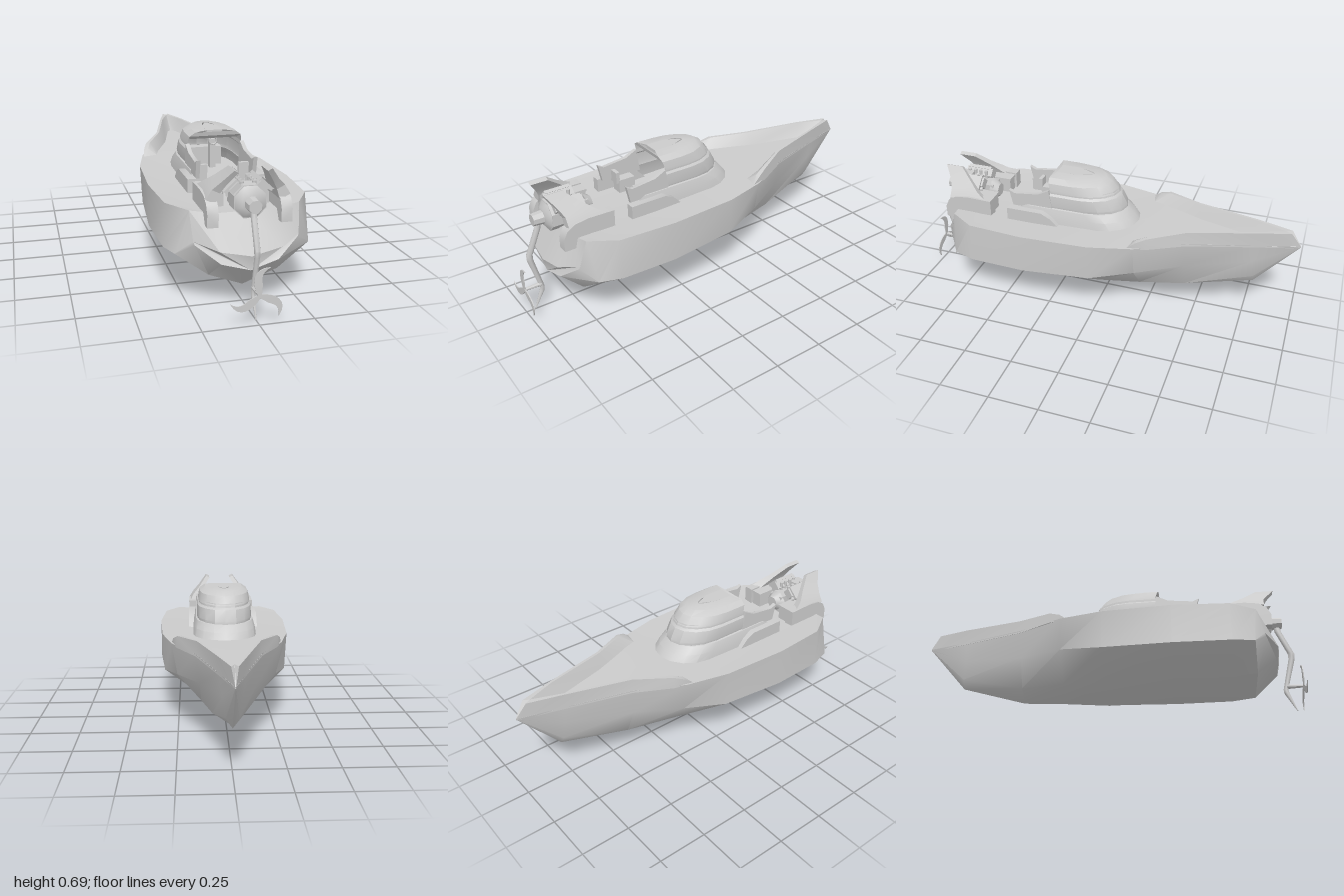
import * as THREE from 'three';
import { toCreasedNormals } from 'three/addons/utils/BufferGeometryUtils.js';

const solid = new THREE.MeshStandardMaterial({ color: 0xcccccc });
const thin = new THREE.MeshStandardMaterial({ color: 0xcccccc, side: THREE.DoubleSide });

// Skin a list of equal-length rings of [x, y, z]; closed rings are capped and turned outward.
function loft(rings, { closed = true, crease = 0.5 } = {}) {
  const n = rings[0].length, last = (rings.length - 1) * n;
  const pos = rings.flat(2), index = [];
  for (let r = 0; r < rings.length - 1; r++) {
    for (let i = 0; i < (closed ? n : n - 1); i++) {
      const a = r * n + i, b = r * n + (i + 1) % n;
      index.push(a, b, a + n, b, b + n, a + n);
    }
  }
  if (closed) {
    for (let i = 1; i < n - 1; i++) index.push(0, i + 1, i, last, last + i, last + i + 1);
    let volume = 0;
    const v = (i) => new THREE.Vector3().fromArray(pos, index[i] * 3);
    for (let i = 0; i < index.length; i += 3) volume += v(i).dot(v(i + 1).cross(v(i + 2)));
    if (volume < 0) index.reverse();
  }
  const g = new THREE.BufferGeometry();
  g.setAttribute('position', new THREE.Float32BufferAttribute(pos, 3));
  g.setIndex(index);
  return toCreasedNormals(g, crease);
}

export function createModel() {
  const model = new THREE.Group();
  const add = (name, geometry, x = 0, y = 0, z = 0, material = solid) => {
    const m = new THREE.Mesh(geometry, material);
    m.name = name;
    m.position.set(x, y, z);
    model.add(m);
    return m;
  };
  const box = (name, x, y, z, w, h, d) => add(name, new THREE.BoxGeometry(w, h, d), x, y, z);
  // Cylinder along z
  const rod = (name, x, y, z, r0, r1, len, sides = 8) => {
    const g = new THREE.CylinderGeometry(r0, r1, len, sides).rotateY(Math.PI / sides).rotateX(Math.PI / 2);
    return add(name, toCreasedNormals(g, 0.7), x, y, z);
  };
  // Prism from a [z, y] side outline, x0 to x1
  const sidePrism = (name, outline, x0, x1) =>
    add(name, loft([x0, x1].map((x) => outline.map(([z, y]) => [x, y, z])), { crease: 0.7 }));

  // Hull: half sections from keel through bilge, chine and sheer to the deck
  const sections = [
    [[0, 0.46, -1], [0.001, 0.461, -1], [0.002, 0.463, -1], [0.002, 0.466, -1], [0.001, 0.467, -1]],
    [[0, 0.215, -0.79], [0.03, 0.26, -0.79], [0.045, 0.36, -0.78], [0.062, 0.465, -0.78], [0.02, 0.465, -0.78]],
    [[0, 0.115, -0.45], [0.08, 0.17, -0.45], [0.14, 0.32, -0.45], [0.158, 0.467, -0.46], [0.08, 0.465, -0.46]],
    [[0, 0.1, -0.22], [0.13, 0.16, -0.22], [0.25, 0.3, -0.22], [0.277, 0.462, -0.22], [0.14, 0.465, -0.22]],
    [[0, 0.08, 0], [0.16, 0.145, 0], [0.32, 0.265, 0], [0.33, 0.46, 0], [0.14, 0.455, 0]],
    [[0, 0.08, 0.35], [0.175, 0.14, 0.35], [0.35, 0.255, 0.35], [0.35, 0.46, 0.35], [0.14, 0.445, 0.35]],
    [[0, 0.08, 0.64], [0.175, 0.14, 0.64], [0.34, 0.255, 0.64], [0.33, 0.46, 0.64], [0.14, 0.445, 0.64]],
    [[0, 0.085, 0.75], [0.16, 0.15, 0.76], [0.31, 0.26, 0.75], [0.25, 0.46, 0.77], [0.14, 0.445, 0.79]],
    [[0, 0.2, 0.87], [0.13, 0.235, 0.86], [0.235, 0.315, 0.81], [0.24, 0.33, 0.805], [0.14, 0.298, 0.875]],
  ];
  const hull = sections.map((s, i) => {
    const [, y, z] = s[4];
    const centre = i === 8 ? [0, 0.27, 0.885] : [0, y, z];
    return [...s, centre, ...s.slice(1).reverse().map((p) => [-p[0], p[1], p[2]])];
  });
  add('hull', loft(hull, { crease: 0.6 }));

  // Raised bow bulwarks
  const bulwark = [
    [[0.277, 0.455, -0.18], [0.268, 0.49, -0.225], [0.245, 0.495, -0.225], [0.2, 0.46, -0.2]],
    [[0.253, 0.455, -0.28], [0.247, 0.513, -0.28], [0.225, 0.515, -0.28], [0.175, 0.46, -0.28]],
    [[0.158, 0.455, -0.46], [0.152, 0.53, -0.46], [0.137, 0.53, -0.46], [0.095, 0.46, -0.48]],
    [[0.062, 0.455, -0.78], [0.066, 0.54, -0.78], [0.053, 0.54, -0.78], [0.025, 0.46, -0.75]],
    [[0.014, 0.455, -0.95], [0.016, 0.54, -0.95], [0, 0.54, -0.92], [0, 0.46, -0.79]],
    [[0.002, 0.46, -1], [0.002, 0.468, -1], [0, 0.468, -1], [0, 0.46, -0.99]],
  ];
  for (const s of [1, -1]) {
    add('bowBulwark', loft(bulwark.map((r) => r.map(([x, y, z]) => [s * x, y, z]))));
  }

  // Cabin: stacked U-shaped outlines, open toward the stern
  const uRing = (y, w, front, back) => {
    const pts = [[-w, y, back]];
    const turn = Math.min(front + 0.19, back - 0.01);
    for (let i = 0; i <= 8; i++) {
      const a = Math.PI * i / 8;
      pts.push([-w * Math.cos(a), y, turn - (turn - front) * Math.sin(a)]);
    }
    pts.push([w, y, back]);
    return pts;
  };
  const shell = (name, rows, crease) =>
    add(name, loft(rows.map((r) => uRing(...r)), { closed: false, crease }), 0, 0, 0, thin);
  shell('cabinCoaming', [[0.45, 0.167, -0.185, 0.47], [0.495, 0.162, -0.15, 0.47],
    [0.53, 0.152, -0.11, 0.4], [0.535, 0.138, -0.095, 0.36]], 0.4);
  shell('cabinWall', [[0.53, 0.143, -0.11, 0.34], [0.545, 0.146, -0.108, 0.33],
    [0.6, 0.143, -0.08, 0.29], [0.61, 0.134, -0.068, 0.28], [0.63, 0.134, -0.06, 0.27]], 0.4);
  add('cabinRoof', loft([uRing(0.62, 0.138, -0.065, 0.26), uRing(0.632, 0.137, -0.055, 0.265),
    uRing(0.665, 0.13, -0.03, 0.275), uRing(0.685, 0.1, 0.005, 0.28), uRing(0.69, 0.04, 0.07, 0.26),
  ], { closed: false, crease: 0.5 }), 0, 0, 0, thin);
  add('roofTop', loft([[[-0.04, 0.69, 0.26], [-0.04, 0.69, 0.16], [0, 0.69, 0.07], [0.04, 0.69, 0.16], [0.04, 0.69, 0.26]],
    [[-0.04, 0.675, 0.26], [-0.04, 0.675, 0.16], [0, 0.675, 0.07], [0.04, 0.675, 0.16], [0.04, 0.675, 0.26]]]));
  add('roofRearEdge', loft([[[-0.13, 0.665, 0.275], [-0.1, 0.685, 0.28], [0.1, 0.685, 0.28], [0.13, 0.665, 0.275]],
    [[-0.12, 0.645, 0.24], [-0.07, 0.665, 0.24], [0.07, 0.665, 0.24], [0.12, 0.645, 0.24]]]));

  // Helm inside the cabin
  box('dashboard', 0, 0.5, 0.0, 0.2, 0.1, 0.06);
  box('helmColumn', 0.035, 0.53, 0.08, 0.03, 0.15, 0.04);
  add('steeringWheel', new THREE.TorusGeometry(0.02, 0.004, 6, 16), 0.035, 0.6, 0.105);

  for (const s of [1, -1]) {
    // Cockpit sides behind the cabin
    sidePrism('cockpitSide', [[0.49, 0.44], [0.49, 0.515], [0.3, 0.515], [0.25, 0.49], [0.2, 0.44]], s * 0.148, s * 0.19);
    sidePrism('cockpitWing', [[0.47, 0.51], [0.49, 0.6], [0.46, 0.585], [0.33, 0.6], [0.27, 0.63], [0.25, 0.51]], s * 0.128, s * 0.148);
    // Cockpit seats
    box('seatBase', s * 0.105, 0.48, 0.36, 0.06, 0.07, 0.09);
    box('seatBack', s * 0.105, 0.53, 0.41, 0.055, 0.06, 0.02);

    // Engine-bay lockers with lids
    box('locker', s * 0.105, 0.48, 0.65, 0.055, 0.075, 0.11);
    box('lockerLid', s * 0.105, 0.522, 0.65, 0.062, 0.012, 0.12);

    // Stern fenders and inward-leaning swept fins
    sidePrism('sternFender', [[0.585, 0.44], [0.585, 0.532], [0.72, 0.535], [0.79, 0.525], [0.83, 0.5], [0.85, 0.46],
      [0.85, 0.4], [0.79, 0.4], [0.75, 0.44]], s * 0.14, s * 0.19);
    const finRing = (x, y, z0, z1, t) =>
      [[s * (x - t), y - t / 2, z0], [s * (x + t), y + t / 2, z0], [s * (x + t), y + t / 2, z1], [s * (x - t), y - t / 2, z1]];
    add('sternFin', loft([finRing(0.165, 0.505, 0.6, 0.82, 0.024), finRing(0.145, 0.55, 0.67, 0.82, 0.018),
      finRing(0.115, 0.59, 0.72, 0.84, 0.012), finRing(0.073, 0.648, 0.79, 0.88, 0.01)], { crease: 0.3 }));

    // Cylinder banks of the V engine, with intake stubs and exhaust
    const bank = box('cylinderBank', s * 0.055, 0.555, 0.755, 0.05, 0.045, 0.15);
    bank.rotation.z = -s * 0.75;
    const cover = box('valveCover', s * 0.078, 0.567, 0.755, 0.075, 0.016, 0.13);
    cover.rotation.z = -s * 0.75;
    for (let i = 0; i < 4; i++) {
      add('intakeStub', new THREE.CylinderGeometry(0.01, 0.008, 0.05, 8), s * 0.028, 0.56, 0.71 + i * 0.032);
    }
    const pipe = new THREE.LineCurve3(new THREE.Vector3(s * 0.08, 0.535, 0.68), new THREE.Vector3(s * 0.12, 0.53, 0.8));
    add('exhaustPipe', new THREE.TubeGeometry(pipe, 1, 0.01, 8));
  }

  // Engine block, octagonal bell housing and output drive
  box('engineBlock', 0, 0.49, 0.72, 0.085, 0.1, 0.16);
  rod('engineNose', 0, 0.5, 0.635, 0.06, 0.035, 0.04);
  rod('bellHousing', 0, 0.503, 0.81, 0.079, 0.079, 0.07);
  rod('bellHousingFace', 0, 0.503, 0.855, 0.045, 0.075, 0.02);
  rod('driveCap', 0, 0.5, 0.89, 0.03, 0.034, 0.055);

  // Bent outdrive leg with a pointed skeg
  const leg = [[0.5, 0.885, 0.013], [0.45, 0.895, 0.014], [0.32, 0.95, 0.014], [0.29, 0.95, 0.013],
    [0.12, 0.905, 0.01], [0.1, 0.908, 0.011], [0.004, 0.952, 0.002]];
  add('outdriveLeg', loft(leg.map(([y, z, r]) => Array.from({ length: 8 }, (_, i) => {
    const a = Math.PI * i / 4;
    return [r * Math.cos(a), y, z + 1.2 * r * Math.sin(a)];
  })), { crease: 0.9 }));

  // Propeller with three hooked blades
  rod('propellerShaft', 0, 0.137, 0.95, 0.008, 0.012, 0.08);
  const blade = new THREE.Shape();
  blade.moveTo(-0.008, 0);
  blade.bezierCurveTo(-0.035, 0.06, -0.03, 0.13, 0.052, 0.122);
  blade.bezierCurveTo(0.01, 0.105, 0.01, 0.08, 0.014, 0.05);
  blade.lineTo(0.008, 0);
  const bladeGeometry = new THREE.ExtrudeGeometry(blade, { depth: 0.005, bevelEnabled: false, curveSegments: 8 });
  for (let i = 0; i < 3; i++) {
    add('propellerBlade', bladeGeometry, 0, 0.137, 0.994).rotation.z = i * Math.PI * 2 / 3 + 0.06;
  }
  return model;
}
